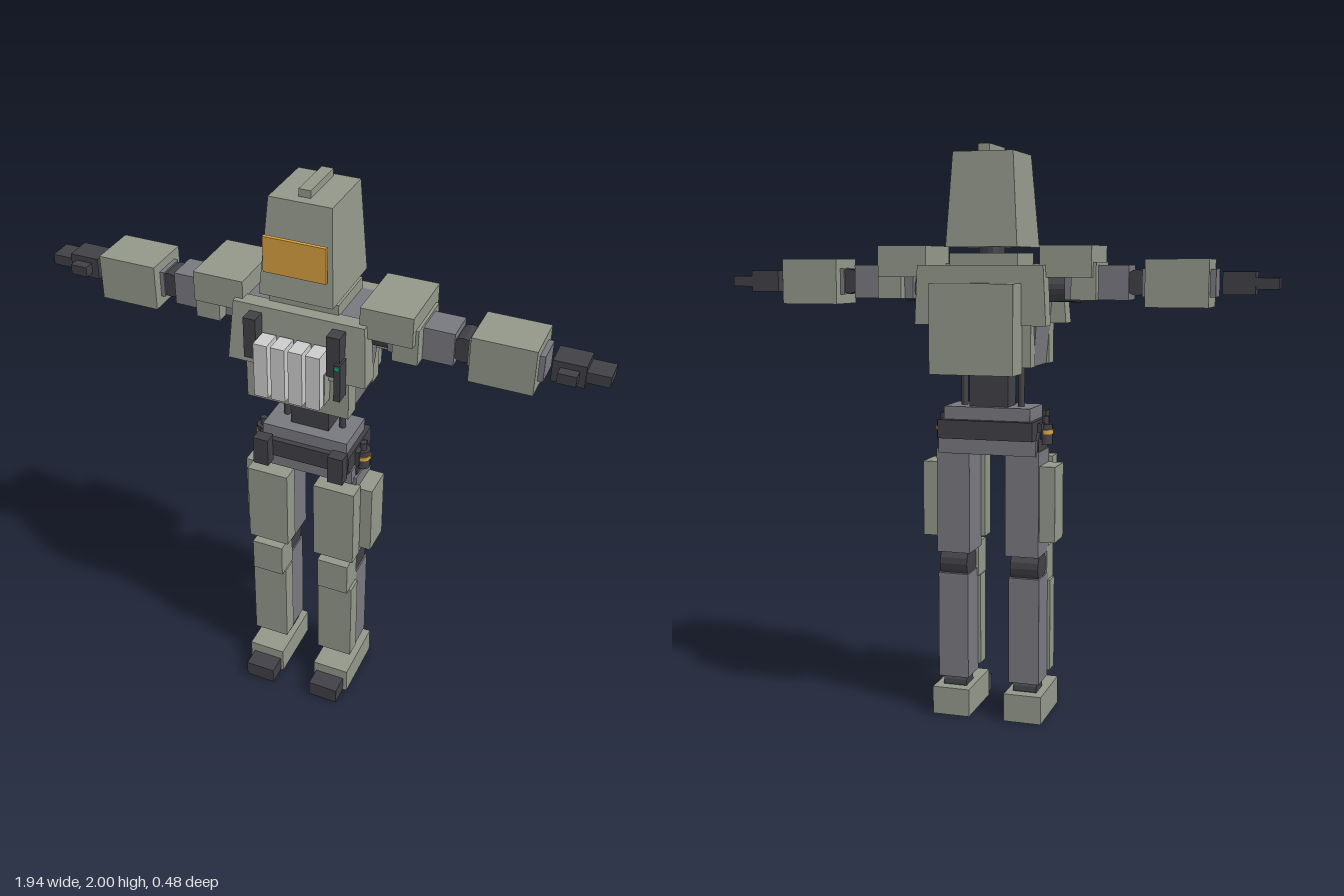
import * as THREE from 'three';

const mat = (color) => new THREE.MeshStandardMaterial({ color, flatShading: true });
const ARMOR = mat(0x92978a), FRAME = mat(0x78787f), DARK = mat(0x404046);
const AMBER = mat(0xd8a040), PALE = mat(0xd0d0cc), TEAL = mat(0x20a080);

export function createModel() {
  const model = new THREE.Group();

  function add(name, geometry, material, x, y, z, parent = model) {
    const mesh = new THREE.Mesh(geometry, material);
    mesh.name = name;
    mesh.position.set(x, y, z);
    parent.add(mesh);
    return mesh;
  }

  // Box given by its limits on each axis
  function box(name, material, [x0, x1], [y0, y1], [z0, z1], parent) {
    return add(name, new THREE.BoxGeometry(Math.abs(x1 - x0), y1 - y0, z1 - z0), material,
      (x0 + x1) / 2, (y0 + y1) / 2, (z0 + z1) / 2, parent);
  }

  // Box whose top rectangle differs from its bottom one
  function tapered(name, material, bottom, top, [y0, y1]) {
    const geo = new THREE.BoxGeometry(1, 1, 1), p = geo.attributes.position;
    for (let i = 0; i < p.count; i++) {
      const [halfX, z0, z1] = p.getY(i) > 0 ? top : bottom;
      p.setXYZ(i, 2 * halfX * p.getX(i), p.getY(i) > 0 ? y1 : y0, p.getZ(i) > 0 ? z1 : z0);
    }
    geo.computeVertexNormals();
    return add(name, geo, material, 0, 0, 0);
  }

  function cylinder(name, material, r, length, axis, [x, y, z], parent) {
    const geo = new THREE.CylinderGeometry(r, r, length, 16);
    if (axis === 'x') geo.rotateZ(Math.PI / 2);
    if (axis === 'z') geo.rotateX(Math.PI / 2);
    return add(name, geo, material, x, y, z, parent);
  }

  // Head
  tapered('helmet', ARMOR, [0.125, -0.125, 0.16], [0.105, -0.105, 0.12], [1.66, 1.975]);
  box('helmetCrest', ARMOR, [-0.02, 0.02], [1.97, 2], [-0.09, 0.085]);
  box('visor', AMBER, [-0.105, 0.105], [1.745, 1.865], [0.155, 0.168]);
  cylinder('neck', DARK, 0.045, 0.08, 'y', [0, 1.64, 0]);
  box('collar', ARMOR, [-0.12, 0.12], [1.59, 1.64], [-0.1, 0.1]);

  // Torso: frame core between front and back plates
  tapered('torsoCore', FRAME, [0.17, -0.08, 0.1], [0.2, -0.1, 0.1], [1.26, 1.6]);
  tapered('chestPlate', ARMOR, [0.24, 0.09, 0.165], [0.225, 0.09, 0.145], [1.4, 1.605]);
  box('bellyPlate', ARMOR, [-0.18, 0.18], [1.26, 1.4], [0.09, 0.155]);
  tapered('upperBackPlate', ARMOR, [0.23, -0.145, -0.08], [0.22, -0.145, -0.08], [1.4, 1.6]);
  box('lowerBackPlate', ARMOR, [-0.175, 0.175], [1.26, 1.4], [-0.13, -0.075]);
  box('backpack', ARMOR, [-0.145, 0.145], [1.24, 1.54], [-0.24, -0.13]);

  // Chest gear
  box('pouchBacking', ARMOR, [-0.115, 0.115], [1.325, 1.44], [0.15, 0.2]);
  for (let i = 0; i < 4; i++) {
    const x = -0.092 + i * 0.06;
    box('magazine', PALE, [x - 0.024, x + 0.024], [1.325, 1.52], [0.16, 0.233]);
  }
  box('chestRadio', DARK, [0.12, 0.165], [1.44, 1.585], [0.15, 0.2]);
  box('chestSheath', DARK, [-0.165, -0.122], [1.44, 1.585], [0.15, 0.2]);
  box('chestDevice', DARK, [0.15, 0.172], [1.36, 1.495], [0.16, 0.21]);
  box('deviceLight', TEAL, [0.153, 0.17], [1.475, 1.49], [0.205, 0.214]);

  // Waist and belt
  box('waist', DARK, [-0.07, 0.07], [1.1, 1.27], [-0.04, 0.055]);
  box('hipBlock', FRAME, [-0.155, 0.155], [1.0, 1.115], [-0.065, 0.1]);
  box('belt', DARK, [-0.17, 0.17], [1.005, 1.07], [-0.09, 0.12]);
  box('pelvis', FRAME, [-0.175, 0.175], [0.95, 1.005], [-0.065, 0.1]);

  for (const s of [1, -1]) {
    const sx = (a, b) => [s * a, s * b];

    cylinder('waistPiston', DARK, 0.012, 0.18, 'y', [s * 0.103, 1.19, 0.01]);
    box('beltPouch', DARK, sx(0.11, 0.165), [0.985, 1.09], [0.115, 0.16]);
    box('grenadeClip', DARK, sx(0.16, 0.185), [1.005, 1.06], [-0.02, 0.06]);
    cylinder('grenade', DARK, 0.025, 0.07, 'y', [s * 0.187, 1.02, 0.025]);
    cylinder('grenadeBand', AMBER, 0.028, 0.015, 'y', [s * 0.187, 1.028, 0.025]);
    cylinder('grenadeCap', DARK, 0.012, 0.03, 'y', [s * 0.187, 1.068, 0.025]);

    // Arm
    const arm = new THREE.Group();
    arm.name = s > 0 ? 'leftArm' : 'rightArm';
    model.add(arm);
    cylinder('shoulderJoint', DARK, 0.045, 0.13, 'x', [s * 0.25, 1.52, 0.01], arm);
    box('shoulderPad', ARMOR, sx(0.2, 0.375), [1.56, 1.665], [-0.115, 0.125], arm);
    box('shoulderPlate', ARMOR, sx(0.3, 0.385), [1.485, 1.61], [-0.09, 0.1], arm);
    box('upperArm', FRAME, sx(0.27, 0.487), [1.485, 1.6], [-0.055, 0.055], arm);
    cylinder('elbow', DARK, 0.043, 0.09, 'z', [s * 0.513, 1.543, 0], arm);
    box('forearm', FRAME, sx(0.53, 0.77), [1.497, 1.588], [-0.05, 0.05], arm);
    box('forearmArmor', ARMOR, sx(0.545, 0.752), [1.463, 1.62], [-0.085, 0.085], arm);
    box('palm', DARK, sx(0.79, 0.895), [1.505, 1.58], [-0.045, 0.045], arm);
    box('fingers', DARK, sx(0.895, 0.97), [1.523, 1.56], [-0.042, 0.04], arm);
    box('thumb', DARK, sx(0.815, 0.875), [1.525, 1.56], [0.045, 0.08], arm);

    // Leg
    const leg = new THREE.Group();
    leg.name = s > 0 ? 'leftLeg' : 'rightLeg';
    model.add(leg);
    cylinder('hipJoint', DARK, 0.055, 0.11, 'x', [s * 0.125, 0.985, 0.01], leg);
    box('thigh', FRAME, sx(0.065, 0.185), [0.595, 0.965], [-0.058, 0.08], leg);
    box('thighArmor', ARMOR, sx(0.05, 0.2), [0.63, 0.935], [0.075, 0.14], leg);
    box('thighSidePlate', ARMOR, sx(0.185, 0.24), [0.65, 0.915], [-0.045, 0.07], leg);
    cylinder('knee', DARK, 0.055, 0.1, 'x', [s * 0.13, 0.55, 0.01], leg);
    box('kneePad', ARMOR, sx(0.07, 0.185), [0.485, 0.61], [0.06, 0.15], leg);
    box('shin', FRAME, sx(0.075, 0.185), [0.135, 0.515], [-0.045, 0.075], leg);
    box('shinArmor', ARMOR, sx(0.065, 0.195), [0.155, 0.487], [0.07, 0.13], leg);
    cylinder('ankle', DARK, 0.04, 0.085, 'x', [s * 0.13, 0.105, 0.01], leg);
    box('foot', ARMOR, sx(0.065, 0.2), [0, 0.1], [-0.07, 0.17], leg);
    box('toe', DARK, sx(0.075, 0.185), [0, 0.06], [0.165, 0.24], leg);
  }
  return model;
}
